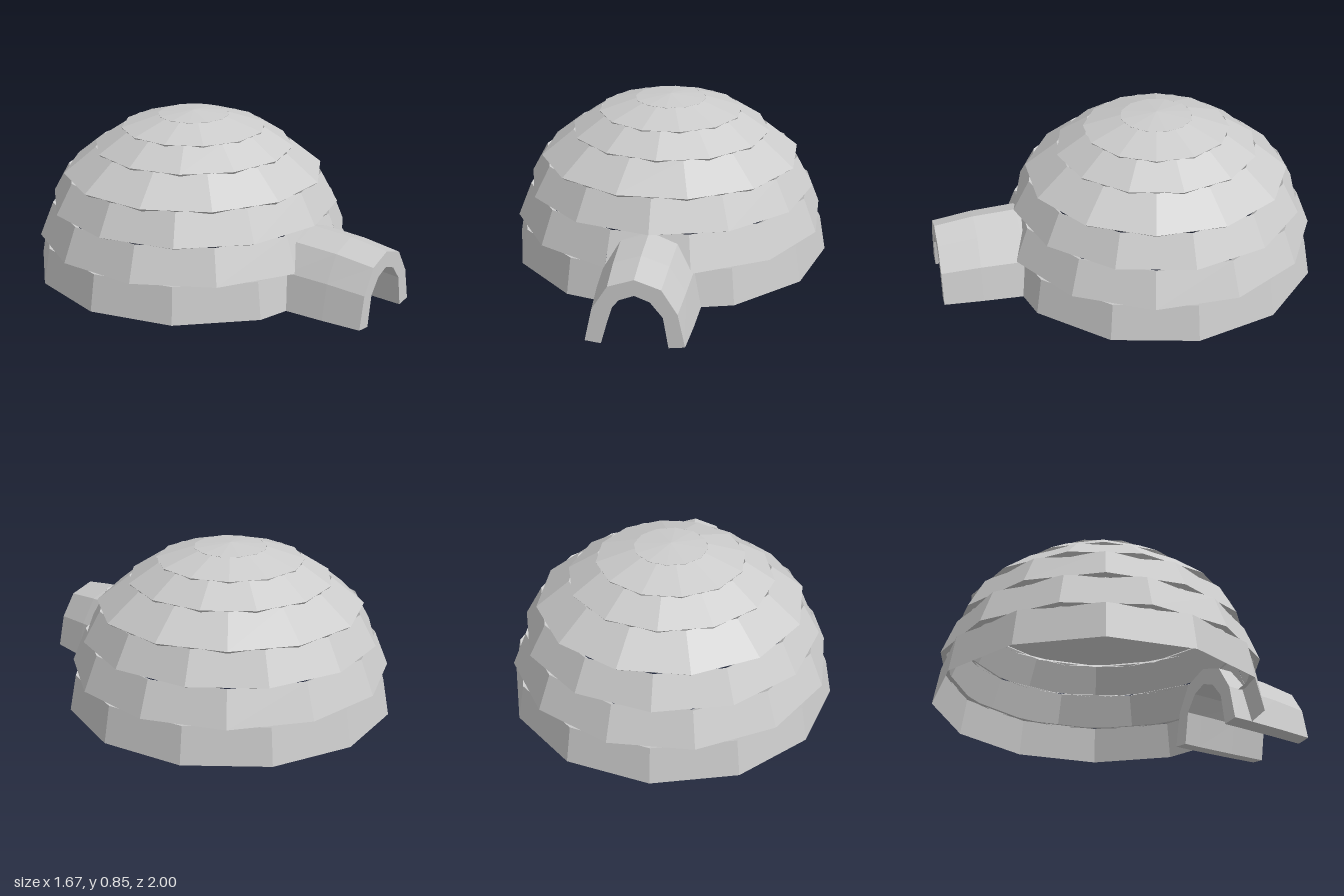
import * as THREE from 'three';

const SIDES = 12, CENTER_Z = -0.165, BASE_Y = 0.01;
const material = new THREE.MeshStandardMaterial({ color: 0xcccccc, flatShading: true, side: THREE.DoubleSide });

// Joins rows of points (all the same length) with quads.
function skin(rows, closed = false) {
  const pos = [];
  for (let i = 0; i < rows.length - 1; i++) {
    const a = rows[i], b = rows[i + 1], n = a.length;
    for (let j = 0; j < (closed ? n : n - 1); j++) {
      const k = (j + 1) % n;
      pos.push(...a[j], ...b[j], ...b[k], ...a[j], ...b[k], ...a[k]);
    }
  }
  return toGeometry(pos);
}

function toGeometry(pos) {
  const g = new THREE.BufferGeometry();
  g.setAttribute('position', new THREE.Float32BufferAttribute(pos, 3));
  g.computeVertexNormals();
  return g;
}

function addMesh(parent, geometry, name) {
  const mesh = new THREE.Mesh(geometry, material);
  mesh.name = name;
  parent.add(mesh);
}

// Point on a flat-sided ring; t counts corners, fractions lie along an edge.
function ringPoint(r, y, t, offset) {
  const k = Math.floor(t), f = t - k;
  const corner = (i) => {
    const a = (i + offset) * Math.PI * 2 / SIDES;
    return [r * Math.sin(a), r * Math.cos(a)];
  };
  const [p, q] = [corner(k), corner(k + 1)];
  return [p[0] + (q[0] - p[0]) * f, y, CENTER_Z + p[1] + (q[1] - p[1]) * f];
}

export function createModel() {
  const model = new THREE.Group();
  model.name = 'igloo';

  // Dome courses: each ring is turned half a side against the one below.
  const levels = [[0.835, 0.01], [0.814, 0.197], [0.755, 0.373], [0.68, 0.53 ], [0.52, 0.665], [0.375, 0.763], [0.185, 0.825], [0, 0.845]];
  const dome = new THREE.Group();
  dome.name = 'dome';
  model.add(dome);
  const inner = ([r, y]) => [r * 0.965, BASE_Y + (y - BASE_Y) * 0.965];
  for (let i = 0; i < 7; i++) {
    const low = levels[i];
    // upper edge lies a little inside the next course
    const high = i < 6 ? [levels[i + 1][0] * 0.985, levels[i + 1][1]] : levels[7];
    const profile = i === 0 ? [low, high, inner(high)]
      : i === 6 ? [inner(low), low, high]
        : [inner(low), low, high, inner(high)];
    const offset = (i % 2) / 2;
    let ts = Array.from({ length: SIDES + 1 }, (_, k) => k);
    if (i === 0) ts = [0.5, ...ts.slice(1, SIDES), SIDES - 0.5]; // doorway gap
    if (i === 1) ts = ts.slice(0, SIDES); // front panel left out
    const rows = profile.map(([r, y]) => ts.map((t) => ringPoint(r, y, t, offset)));
    addMesh(dome, skin(rows), i === 6 ? 'domeCap' : 'domeRing' + (i + 1));
  }

  // Corners of the front panel beside the tunnel arch
  for (const s of [1, -1]) {
    const a = [s * 0.21, 0.197, 0.62], b = [s * 0.193, 0.373, 0.553], c = [0, 0.373, 0.553];
    addMesh(dome, toGeometry(s > 0 ? [...a, ...b, ...c] : [...a, ...c, ...b]), 'doorCorner');
  }

  // Entrance tunnel: an arch section swept back, widening towards the dome
  const half = [[0.235, 0.01], [0.2, 0.175], [0.125, 0.295], [0, 0.338]];
  const halfIn = [[0.158, 0], [0.132, 0.155], [0.072, 0.23], [0, 0.258]];
  const mirrored = (h) => [...h, ...h.slice(0, 3).reverse().map(([x, y]) => [-x, y])];
  const outerArch = mirrored(half), innerArch = mirrored(halfIn);
  const section = [...outerArch, ...innerArch.slice().reverse()];
  const stations = [[1, 1, 1], [0.8, 1.065, 1.08], [0.58, 1.11, 1.11], [0.49, 1.11, 1.11]];
  const place = (pts, [z, sx, sy]) => pts.map(([x, y]) => [x * sx, y > 0.02 ? y * sy : y, z]);
  const tunnel = new THREE.Group();
  tunnel.name = 'entranceTunnel';
  model.add(tunnel);
  addMesh(tunnel, skin(stations.map((s) => place(section, s)), true), 'tunnelWalls');
  const [front, back] = [stations[0], stations[3]];
  addMesh(tunnel, skin([place(innerArch, front), place(outerArch, front)]), 'tunnelFrontFace');
  addMesh(tunnel, skin([place(outerArch, back), place(innerArch, back)]), 'tunnelBackFace');

  return model;
}
